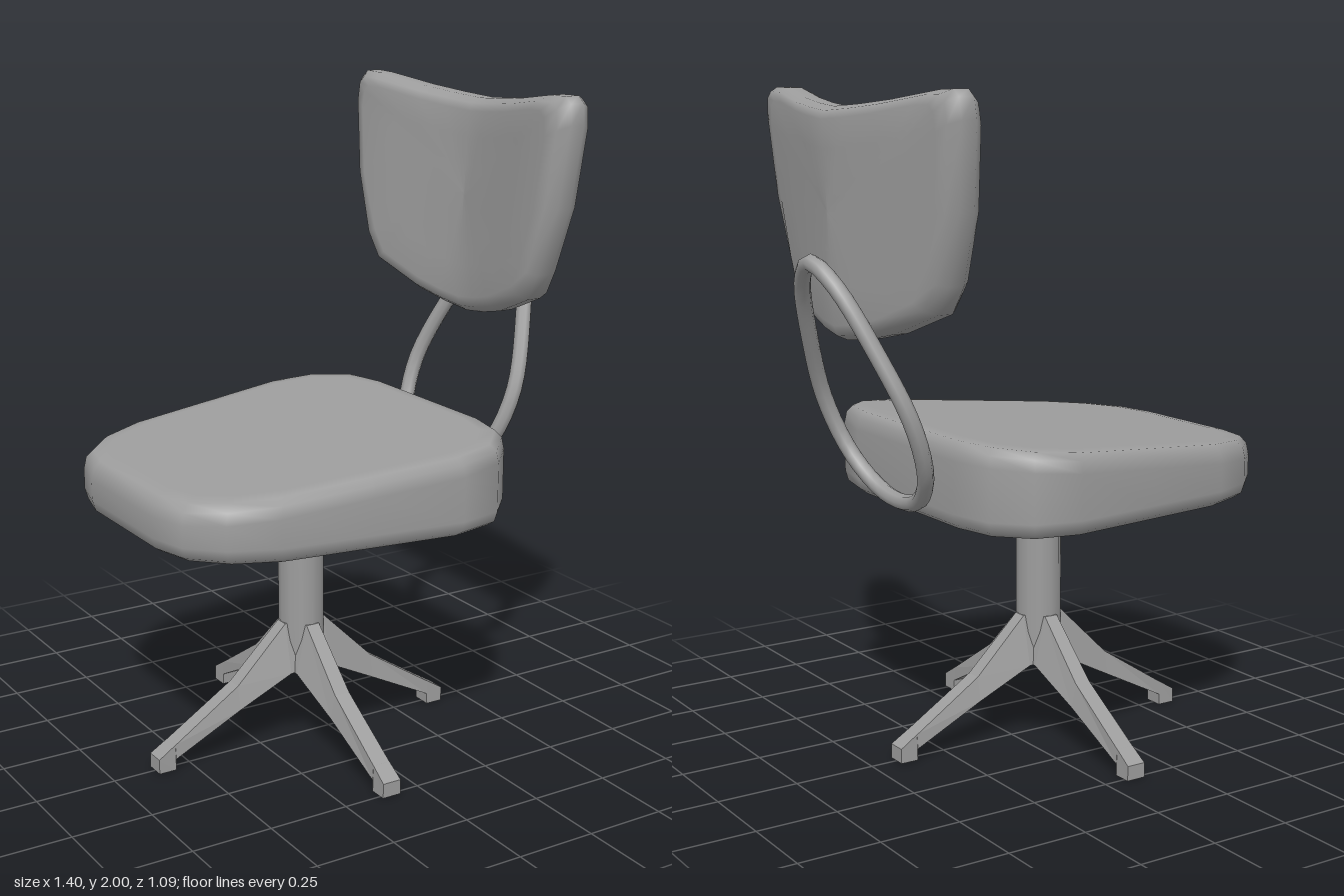
import * as THREE from 'three';

// Skin a list of equal-length rings of [x, y, z] and close both ends with fans
function loft(rings) {
  const n = rings[0].length;
  const pts = rings.flat();
  const index = [];
  for (let r = 0; r < rings.length - 1; r++) {
    for (let i = 0; i < n; i++) {
      const a = r * n + i, b = r * n + (i + 1) % n;
      index.push(a, b, a + n, b, b + n, a + n);
    }
  }
  const centre = (ring) => [0, 1, 2].map((k) => ring.reduce((s, p) => s + p[k], 0) / n);
  const start = pts.push(centre(rings[0])) - 1;
  const end = pts.push(centre(rings[rings.length - 1])) - 1;
  const last = (rings.length - 1) * n;
  for (let i = 0; i < n; i++) {
    const j = (i + 1) % n;
    index.push(start, j, i, end, last + i, last + j);
  }
  // turn the faces outward if the enclosed volume is negative
  let volume = 0;
  const [a, b, c] = [new THREE.Vector3(), new THREE.Vector3(), new THREE.Vector3()];
  for (let i = 0; i < index.length; i += 3) {
    a.set(...pts[index[i]]);
    b.set(...pts[index[i + 1]]);
    c.set(...pts[index[i + 2]]);
    volume += a.dot(b.cross(c));
  }
  if (volume < 0) index.reverse();
  const geometry = new THREE.BufferGeometry();
  geometry.setAttribute('position', new THREE.Float32BufferAttribute(pts.flat(), 3));
  geometry.setIndex(index);
  geometry.computeVertexNormals();
  return geometry;
}

function add(parent, name, geometry, flatShading = false) {
  const material = new THREE.MeshStandardMaterial({ color: 0x9d9d9d, flatShading });
  const mesh = new THREE.Mesh(geometry, material);
  mesh.name = name;
  parent.add(mesh);
  return mesh;
}

// Seat: half outline in [x, z], mirrored; rings are [scale, height] below and [scale, depth] above
function seatGeometry() {
  const half = [[-0.7, 0.2], [-0.67, 0.32], [-0.58, 0.41], [-0.44, 0.47], [-0.16, 0.508],
    [0.12, 0.545], [0.26, 0.515], [0.35, 0.42], [0.38, 0.28]];
  const outline = [...half, ...half.map(([x, z]) => [x, -z]).reverse()];
  const top = (x) => 0.94 + 0.088 * Math.min(x + 0.66, 1);
  const bottomRings = [[0.4, 0.768], [0.88, 0.768], [0.95, 0.769], [0.985, 0.783], [1, 0.815]];
  const topRings = [[1, 0.06], [0.988, 0.025], [0.955, 0.004], [0.88, 0], [0.4, 0]];
  const place = (s, y) => outline.map(([x, z]) => {
    const px = -0.1 + (x + 0.1) * s;
    return [px, y(px), z * s];
  });
  return loft([
    ...bottomRings.map(([s, y]) => place(s, () => y)),
    ...topRings.map(([s, d]) => place(s, (x) => top(x) - d)),
  ]);
}

// Backrest: half outline in [z, y], wrapped around the sitter and leaning back
function backrestGeometry() {
  const half = [[0.12, 1.958], [0.25, 1.971], [0.44, 1.998], [0.51, 2], [0.535, 1.98], [0.543, 1.92],
    [0.51, 1.68], [0.44, 1.48], [0.39, 1.4], [0.21, 1.33], [0.1, 1.305]];
  const outline = [[0, 1.95], ...half, [0, 1.292], ...half.map(([z, y]) => [-z, y]).reverse()];
  const rings = [[0.02, 0], [0.3, 0], [0.6, 0], [0.87, 0], [0.95, 0.07], [1, 0.3],
    [1, 0.66], [0.96, 0.92], [0.88, 1], [0.6, 1], [0.3, 1], [0.02, 1]];
  return loft(rings.map(([s, t]) => outline.map(([z0, y0]) => {
    const z = z0 * s, y = 1.66 + (y0 - 1.66) * s;
    const wrap = 0.075 * (Math.min(Math.abs(z), 0.43) / 0.41) ** 1.3;
    return [0.49 - wrap + 0.05 * (y - 1.65) + 0.127 * t, y, z];
  })));
}

// Egg-shaped tube loop lying in a tilted plane
function loopGeometry() {
  const half = [[0.1, 1.46], [0.2, 1.28], [0.262, 1.08], [0.225, 0.92], [0.12, 0.825]];
  const path = [[0, 1.52], ...half, [0, 0.8], ...half.map(([z, y]) => [-z, y]).reverse()];
  const curve = new THREE.CatmullRomCurve3(
    path.map(([z, y]) => new THREE.Vector3(0.39 + (y - 0.8) * 0.39, y, z)), true);
  return new THREE.TubeGeometry(curve, 48, 0.025, 8, true);
}

// Leg: sections of [radius, top, bottom, half width at top, half width at bottom]
function legGeometry() {
  const sections = [[0, 0.39, 0.24, 0.03, 0.06], [0.07, 0.387, 0.235, 0.022, 0.058],
    [0.24, 0.22, 0.147, 0.025, 0.04], [0.458, 0.08, 0.035, 0.028, 0.031],
    [0.459, 0.08, 0, 0.028, 0.031], [0.515, 0.045, 0, 0.03, 0.031]];
  return loft(sections.map(([r, t, b, wt, wb]) => [[r, t, wt], [r, t, -wt], [r, b, -wb], [r, b, wb]]));
}

export function createModel() {
  const chair = new THREE.Group();
  chair.name = 'swivelChair';

  add(chair, 'seat', seatGeometry());
  add(chair, 'backrest', backrestGeometry());
  add(chair, 'backSupportLoop', loopGeometry());

  // Pedestal stands slightly ahead of the model's centre
  const base = new THREE.Group();
  base.name = 'pedestal';
  base.position.x = -0.1;
  chair.add(base);

  add(base, 'post', new THREE.CylinderGeometry(0.07, 0.07, 0.47, 12)).position.y = 0.475;
  const plate = [[0, 0.7], [0.07, 0.7], [0.24, 0.752], [0.24, 0.775], [0, 0.775]];
  add(base, 'mountingPlate',
    new THREE.LatheGeometry(plate.map(([r, y]) => new THREE.Vector2(r, y)), 12), true);

  for (let i = 0; i < 4; i++) {
    add(base, `leg${i + 1}`, legGeometry(), true).rotation.y = i * Math.PI / 2;
  }
  return chair;
}
